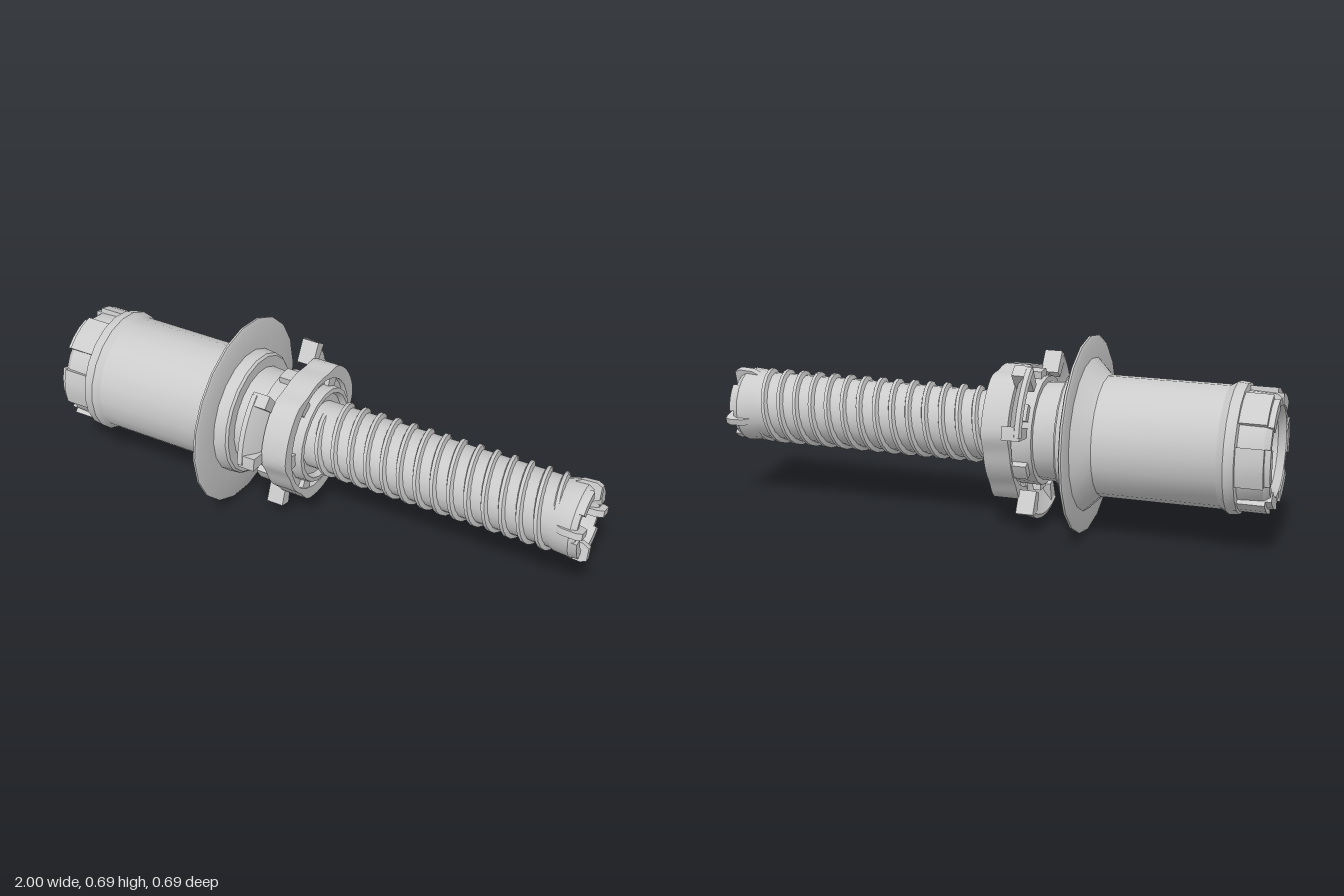
import * as THREE from 'three';
import { toCreasedNormals } from 'three/addons/utils/BufferGeometryUtils.js';
import { ParametricGeometry } from 'three/addons/geometries/ParametricGeometry.js';

const material = new THREE.MeshStandardMaterial({ color: 0xcccccc, side: THREE.DoubleSide });
const rad = THREE.MathUtils.degToRad;

// Angles run in degrees round the x axis, from +y towards +z.
const polar = (r, a) => new THREE.Vector2(-r * Math.sin(rad(a)), r * Math.cos(rad(a)));

export function createModel() {
  const model = new THREE.Group();
  const axis = new THREE.Group();
  axis.name = 'assembly';
  axis.position.y = 0.345;
  model.add(axis);

  const add = (name, geometry) => {
    const mesh = new THREE.Mesh(toCreasedNormals(geometry, 0.5), material);
    mesh.name = name;
    axis.add(mesh);
  };

  // Turned part: profile points are [x, radius]
  const turned = (name, profile, sides = 20, start = 0, length = 360) => {
    const points = profile.map(([x, r]) => new THREE.Vector2(r, x));
    add(name, new THREE.LatheGeometry(points, sides, rad(start - 90), rad(length)).rotateZ(-Math.PI / 2));
  };

  // Flat outline pushed along x
  const extruded = (name, shape, x0, x1) => {
    const geometry = new THREE.ExtrudeGeometry(shape, { depth: x1 - x0, bevelEnabled: false });
    add(name, geometry.rotateY(Math.PI / 2).translate(x0, 0, 0));
  };

  // Block bent round the axis
  const sector = (name, r0, r1, a0, a1, x0, x1, steps = 3) => {
    const outer = [], inner = [];
    for (let i = 0; i <= steps; i++) {
      const a = a0 + (a1 - a0) * i / steps;
      outer.push(polar(r1, a));
      inner.unshift(polar(r0, a));
    }
    extruded(name, new THREE.Shape([...outer, ...inner]), x0, x1);
  };

  // Rear cap with bore, and its raised lugs
  turned('rearCap', [[-0.9, 0], [-0.9, 0.13], [-0.97, 0.135], [-0.995, 0.155], [-0.995, 0.18],
    [-0.975, 0.195], [-0.87, 0.2]]);
  for (let i = 0; i < 6; i++) {
    sector('rearCapLug', 0.16, 0.212, i * 60 + 8, i * 60 + 46, -0.98, -0.88);
    sector('rearCapTooth', 0.155, 0.195, i * 60 + 8, i * 60 + 46, -1, -0.975);
  }

  // Barrel with rear collar and flared front
  turned('barrel', [[-0.89, 0.19], [-0.885, 0.222], [-0.85, 0.226], [-0.825, 0.211], [-0.405, 0.211],
    [-0.395, 0.218], [-0.345, 0.268]]);
  turned('flange', [[-0.345, 0.2], [-0.347, 0.335], [-0.342, 0.345], [-0.335, 0.345], [-0.33, 0.335],
    [-0.33, 0.2]]);
  turned('frontCollar', [[-0.335, 0.23], [-0.285, 0.226], [-0.277, 0.218], [-0.277, 0.178],
    [-0.19, 0.172], [-0.19, 0.192], [-0.11, 0.192]]);

  // Locking nut: outline swells where the three lugs sit
  const lugAngles = [63, 183, 303];
  const outline = [];
  for (let a = 0; a < 360; a += 6) {
    const swell = THREE.MathUtils.smoothstep(Math.cos(rad(3 * (a - 63))), -0.7, 0.4);
    outline.push(polar(0.224 + 0.026 * swell, a));
  }
  const nut = new THREE.Shape(outline);
  nut.holes.push(new THREE.Path().absarc(0, 0, 0.205, 0, Math.PI * 2, true));
  extruded('lockingNut', nut, -0.125, -0.03);
  turned('nutInsert', [[-0.11, 0.21], [-0.05, 0.208], [-0.05, 0.178], [-0.01, 0.174], [-0.008, 0.158],
    [-0.03, 0.15], [-0.03, 0.11]]);
  for (let i = 0; i < 6; i++) {
    sector('nutInsertKey', 0.17, 0.206, i * 60 + 22, i * 60 + 38, -0.06, -0.033);
    sector('nutNeckRib', 0.17, 0.215, i * 60 - 8, i * 60 + 8, -0.175, -0.11);
  }

  // Three swept locking lugs with thick ends
  for (const a of lugAngles) {
    turned('lockingLug', [[-0.14, 0.18], [-0.16, 0.25], [-0.19, 0.295], [-0.185, 0.31], [-0.168, 0.308],
      [-0.135, 0.255], [-0.115, 0.18], [-0.14, 0.18]], 6, a - 24, 48);
    sector('lugStop', 0.22, 0.305, a - 26, a - 17, -0.185, -0.122);
    sector('lugStop', 0.22, 0.305, a + 17, a + 26, -0.185, -0.122);
  }

  // Threaded rod with a hollow tip
  turned('rod', [[-0.05, 0.122], [0.88, 0.122], [0.9, 0.13], [0.955, 0.134], [0.975, 0.122],
    [0.975, 0.105], [0.945, 0.088], [0.87, 0.075], [0.87, 0]], 20);

  // Two-start helical thread, fading in and out at its ends
  const pitch = 0.0625, turns = 7.2, section = [[-0.014, 0.118], [-0.006, 0.137], [0.006, 0.137], [0.014, 0.118]];
  for (const start of [0, Math.PI]) {
    add('thread', new ParametricGeometry((u, v, target) => {
      const [dx, r] = section[Math.round(v * 3)];
      const angle = start + u * turns * Math.PI * 2;
      const fade = Math.min(1, u * 40, (1 - u) * 40);
      const radius = 0.118 + (r - 0.118) * fade;
      target.set(u * turns * 2 * pitch + dx, radius * Math.cos(angle), radius * Math.sin(angle));
    }, 160, 3));
  }

  // Crown: four teeth and four radial blades
  for (let i = 0; i < 4; i++) {
    const a = i * 90 - 16;
    sector('crownTooth', 0.098, 0.13, a + 16, a + 60, 0.94, 0.985, 4);
    const blade = new THREE.Shape([[0.9, 0.076], [0.975, 0.076], [1, 0.09], [1, 0.135], [0.98, 0.145], [0.93, 0.142],
      [0.9, 0.125]].map(([x, y]) => new THREE.Vector2(x, y)));
    const geometry = new THREE.ExtrudeGeometry(blade, { depth: 0.024, bevelEnabled: false });
    add('crownBlade', geometry.translate(0, 0, -0.012).rotateX(rad(a)));
  }

  return model;
}
